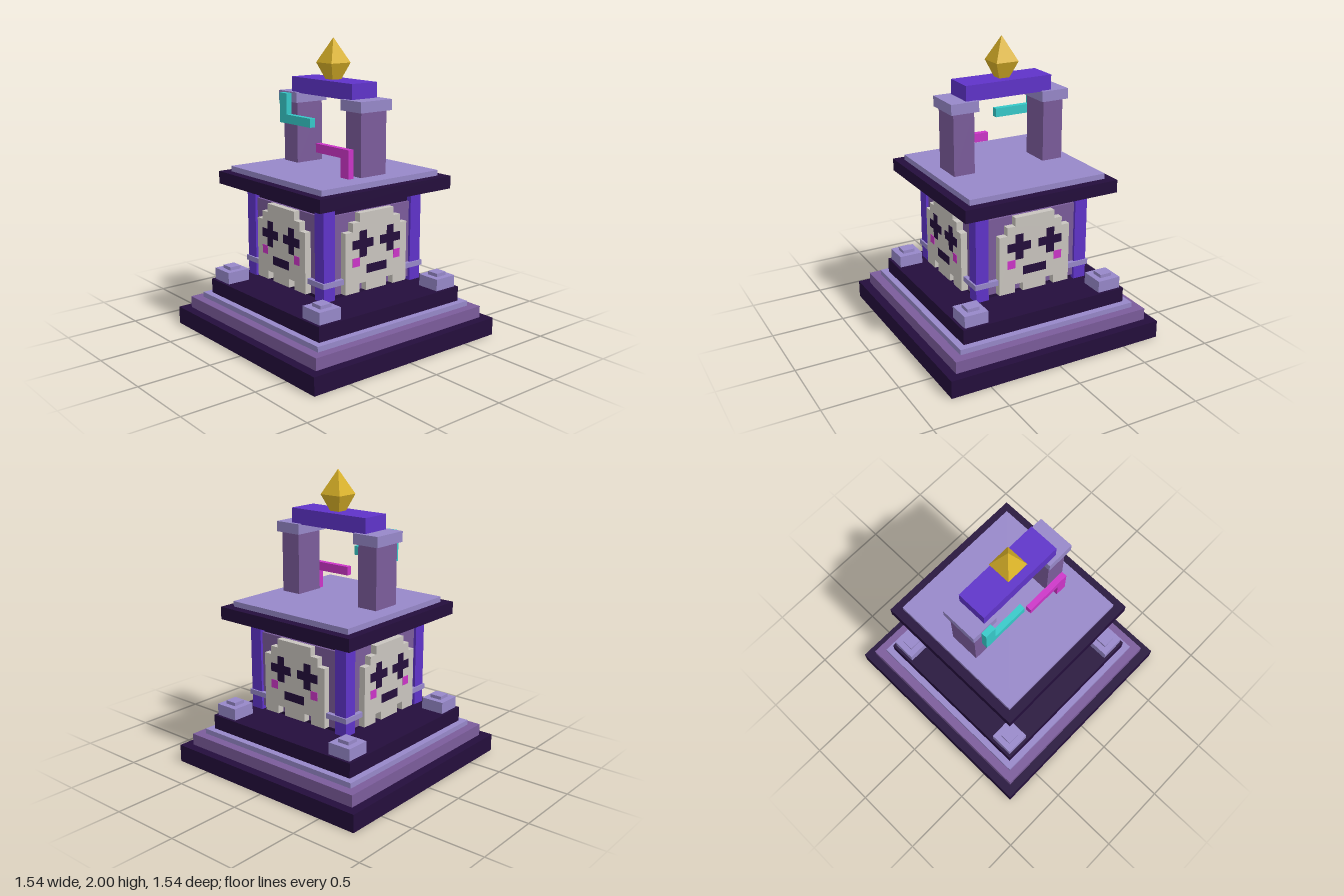
import * as THREE from 'three';

const mat = (name, color) => {
  const m = new THREE.MeshStandardMaterial({ color });
  m.name = name;
  return m;
};

export function createModel() {
  const dark = mat('dark plum', 0x240e3c);
  const mauve = mat('mauve', 0x7b5c9b);
  const lilac = mat('lilac', 0x9788c9);
  const violet = mat('violet', 0x5f33c9);
  const bone = mat('bone', 0xc9c5bf);
  const cyan = mat('cyan', 0x36c9c9);
  const magenta = mat('magenta', 0xcc35c8);
  const gold = mat('gold', 0xdab228);
  gold.flatShading = true;

  const model = new THREE.Group();
  model.name = 'shrine';

  // Box given by its limits on each axis
  const box = (parent, name, m, [x0, x1], [y0, y1], [z0, z1]) => {
    const mesh = new THREE.Mesh(new THREE.BoxGeometry(x1 - x0, y1 - y0, z1 - z0), m);
    mesh.position.set((x0 + x1) / 2, (y0 + y1) / 2, (z0 + z1) / 2);
    mesh.name = name;
    parent.add(mesh);
    return mesh;
  };
  // Square slab centred on the vertical axis
  const slab = (name, m, r, y0, y1) => box(model, name, m, [-r, r], [y0, y1], [-r, r]);

  // Stepped base, body core and roof
  slab('baseStep', dark, 0.77, 0, 0.12);
  slab('middleStep', mauve, 0.707, 0.12, 0.2);
  slab('trimStep', lilac, 0.645, 0.2, 0.235);
  slab('upperStep', dark, 0.6, 0.235, 0.335);
  slab('bodyCore', dark, 0.378, 0.385, 1.015);
  slab('roof', dark, 0.55, 1.015, 1.1);
  slab('roofTop', lilac, 0.49, 1.1, 1.137);

  // Corner pillars with bands, and stepped corner stones
  const post = (name, m, c, r, y0, y1, sx, sz) =>
    box(model, name, m, [sx * c - r, sx * c + r], [y0, y1], [sz * c - r, sz * c + r]);
  for (const sx of [-1, 1]) {
    for (const sz of [-1, 1]) {
      post('cornerPillar', violet, 0.368, 0.045, 0.39, 1.015, sx, sz);
      post('pillarBand', lilac, 0.341, 0.083, 0.483, 0.518, sx, sz);
      post('cornerStone', lilac, 0.498, 0.083, 0.335, 0.415, sx, sz);
      post('cornerStoneCap', lilac, 0.498, 0.042, 0.415, 0.438, sx, sz);
    }
  }

  // Pixel face on a grid of 9 x 9 cells, one per wall
  const cell = 0.0576, bottom = 0.415;
  const gx = (c) => (c - 4.5) * cell;
  const gy = (r) => bottom + r * cell;
  const half = [[0.5, 0], [2, 0], [2, 1], [3, 1], [3, 0], [4.5, 0], [4.5, 7], [3.5, 7], [3.5, 8], [2.5, 8], [2.5, 9]].slice(1);
  const outline = [...half, ...half.map(([x, y]) => [-x, y]).reverse()];
  const skullShape = new THREE.Shape(
    outline.map(([x, y]) => {
      // notches lie on whole cells, offset by half a cell from the centre line
      const snapped = y <= 1 && Math.abs(x) < 4 ? x - Math.sign(x) * 0.5 : x;
      return new THREE.Vector2(snapped * cell, gy(y));
    }),
  );
  const skullGeometry = new THREE.ExtrudeGeometry(skullShape, { depth: 0.05, bevelEnabled: false });

  const features = [
    ['mouth', dark, 3, 6, 2, 3],
    ['leftBlush', magenta, 7, 8, 3, 4],
    ['rightBlush', magenta, 1, 2, 3, 4],
  ];
  for (const c of [1, 5]) {
    features.push(['eyeUpright', dark, c + 1, c + 2, 4, 7]);
    features.push(['eyeArm', dark, c, c + 1, 5, 6], ['eyeArm', dark, c + 2, c + 3, 5, 6]);
  }

  for (let i = 0; i < 4; i++) {
    const wall = new THREE.Group();
    wall.name = 'faceWall';
    box(wall, 'wallPanel', mauve, [-0.325, 0.325], [bottom, 0.934], [0.37, 0.395]);
    const skull = new THREE.Mesh(skullGeometry, bone);
    skull.name = 'skull';
    skull.position.z = 0.39;
    wall.add(skull);
    for (const [name, m, c0, c1, r0, r1] of features) {
      box(wall, name, m, [gx(c0), gx(c1)], [gy(r0), gy(r1)], [0.437, 0.443]);
    }
    wall.rotation.y = (i * Math.PI) / 2;
    model.add(wall);
  }

  // Gate on the roof
  for (const s of [-1, 1]) {
    const span = (a, b) => (s > 0 ? [a, b] : [-b, -a]);
    box(model, 'gateColumn', mauve, span(0.255, 0.402), [1.147, 1.56], [-0.105, 0.105]);
    box(model, 'gateCapital', lilac, span(0.232, 0.427), [1.56, 1.63], [-0.13, 0.13]);
  }
  box(model, 'gateBeam', violet, [-0.311, 0.311], [1.625, 1.73], [-0.105, 0.105]);

  // Angled brackets in front of the gate
  const depth = [0.132, 0.172];
  box(model, 'cyanUpright', cyan, [-0.363, -0.285], [1.42, 1.622], depth);
  box(model, 'cyanArm', cyan, [-0.285, -0.03], [1.42, 1.48], depth);
  box(model, 'magentaUpright', magenta, [0.283, 0.361], [1.14, 1.326], depth);
  box(model, 'magentaArm', magenta, [0.03, 0.283], [1.267, 1.326], depth);

  // Four-sided gem
  const gem = (name, rTop, rBottom, y0, y1) => {
    const g = new THREE.CylinderGeometry(rTop * Math.SQRT2, rBottom * Math.SQRT2, y1 - y0, 4, 1, true);
    const mesh = new THREE.Mesh(g.rotateY(Math.PI / 4), gold);
    mesh.position.y = (y0 + y1) / 2;
    mesh.name = name;
    model.add(mesh);
  };
  gem('gemTop', 0, 0.08, 1.838, 2);
  gem('gemBottom', 0.08, 0.037, 1.73, 1.838);

  return model;
}
